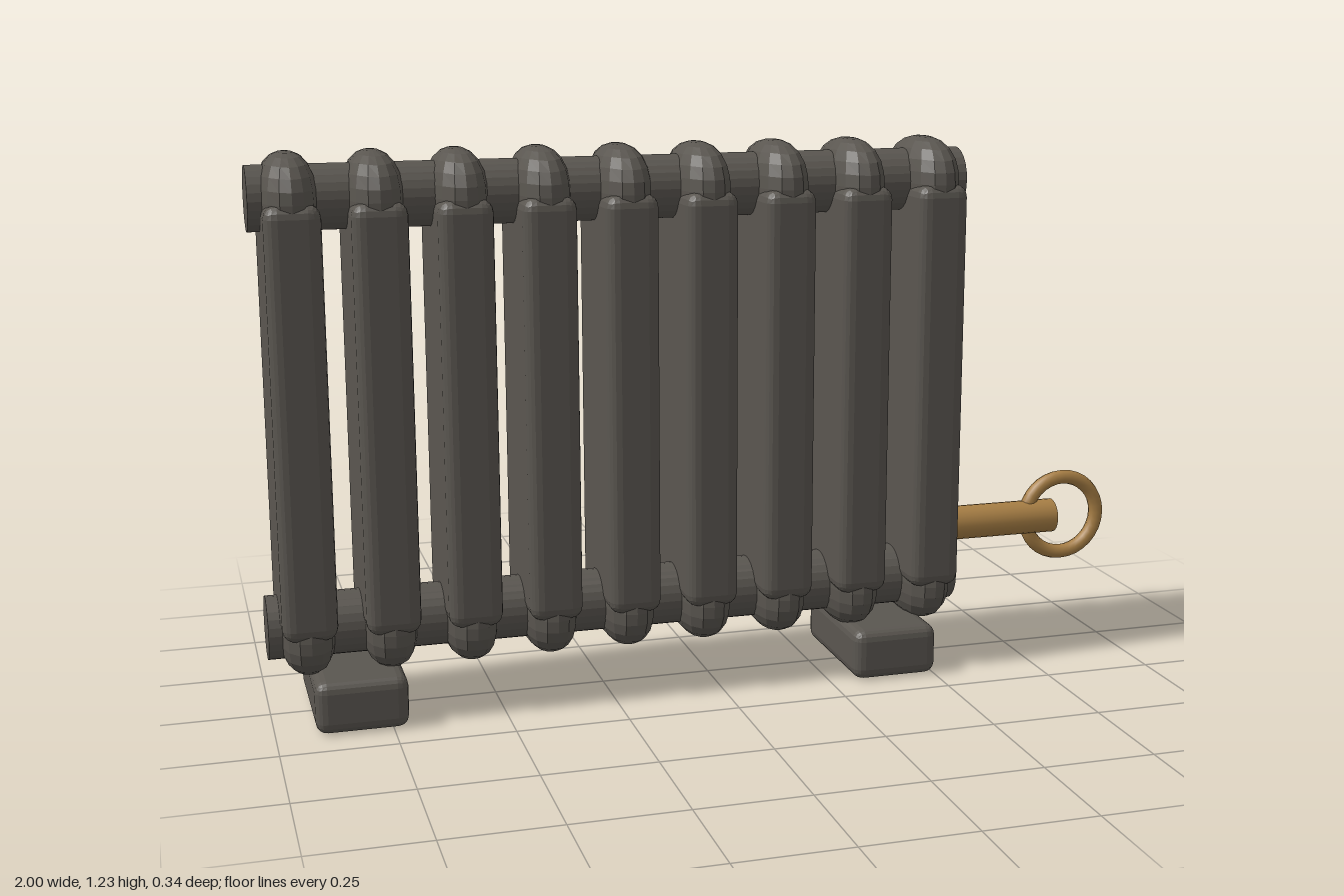
import * as THREE from 'three';
import { RoundedBoxGeometry } from 'three/addons/geometries/RoundedBoxGeometry.js';

const iron = new THREE.MeshStandardMaterial({ color: 0x5a5650, flatShading: true });
const brass = new THREE.MeshStandardMaterial({ color: 0xa87f45 });

const TOP = 1.13, BOTTOM = 0.2;      // heights of the two header pipes
const SECTIONS = 9, FIRST = -0.915, STEP = 0.178;

function add(parent, name, geometry, material, x, y, z = 0) {
  const mesh = new THREE.Mesh(geometry, material);
  mesh.name = name;
  mesh.position.set(x, y, z);
  parent.add(mesh);
  return mesh;
}

// Fuller-than-elliptical knuckle at each end of a section
function knuckleGeometry(rx, ry, rz) {
  const g = new THREE.SphereGeometry(1, 16, 12);
  const p = g.attributes.position;
  const v = new THREE.Vector3();
  const n = 2.35;
  for (let i = 0; i < p.count; i++) {
    v.fromBufferAttribute(p, i);
    const s = Math.abs(v.x) ** n + Math.abs(v.y) ** n + Math.abs(v.z) ** n;
    v.multiplyScalar(s ** (-1 / n));
    p.setXYZ(i, v.x * rx, v.y * ry, v.z * rz);
  }
  g.computeVertexNormals();
  return g;
}

// Cylinder lying along x between two positions
function barGeometry(radius, length, sides) {
  return new THREE.CylinderGeometry(radius, radius, length, sides).rotateZ(Math.PI / 2);
}

export function createModel() {
  const model = new THREE.Group();
  model.name = 'radiator';

  // Upright sections
  const columnGeo = new RoundedBoxGeometry(0.118, TOP - BOTTOM, 0.288, 2, 0.028);
  const knuckleGeo = knuckleGeometry(0.062, 0.1, 0.143);
  for (let i = 0; i < SECTIONS; i++) {
    const section = new THREE.Group();
    section.name = 'section' + (i + 1);
    section.position.x = FIRST + i * STEP;
    add(section, 'column', columnGeo, iron, 0, (TOP + BOTTOM) / 2);
    add(section, 'topKnuckle', knuckleGeo, iron, 0, TOP);
    add(section, 'bottomKnuckle', knuckleGeo, iron, 0, BOTTOM);
    model.add(section);
  }

  // Header pipes through all sections
  const pipeGeo = barGeometry(0.07, 1.59, 24);
  add(model, 'topPipe', pipeGeo, iron, -0.205, TOP + 0.003);
  add(model, 'bottomPipe', pipeGeo, iron, -0.205, BOTTOM);

  // Feet
  const footGeo = new RoundedBoxGeometry(0.2, 0.117, 0.336, 2, 0.025);
  for (const x of [-0.815, 0.405]) add(model, 'foot', footGeo, iron, x, 0.0585);

  // Brass valve with ring handle
  add(model, 'valveStem', barGeometry(0.04, 0.34, 20), brass, 0.695, 0.31);
  add(model, 'valveRing', new THREE.TorusGeometry(0.093, 0.017, 10, 32), brass, 0.89, 0.31);

  return model;
}
